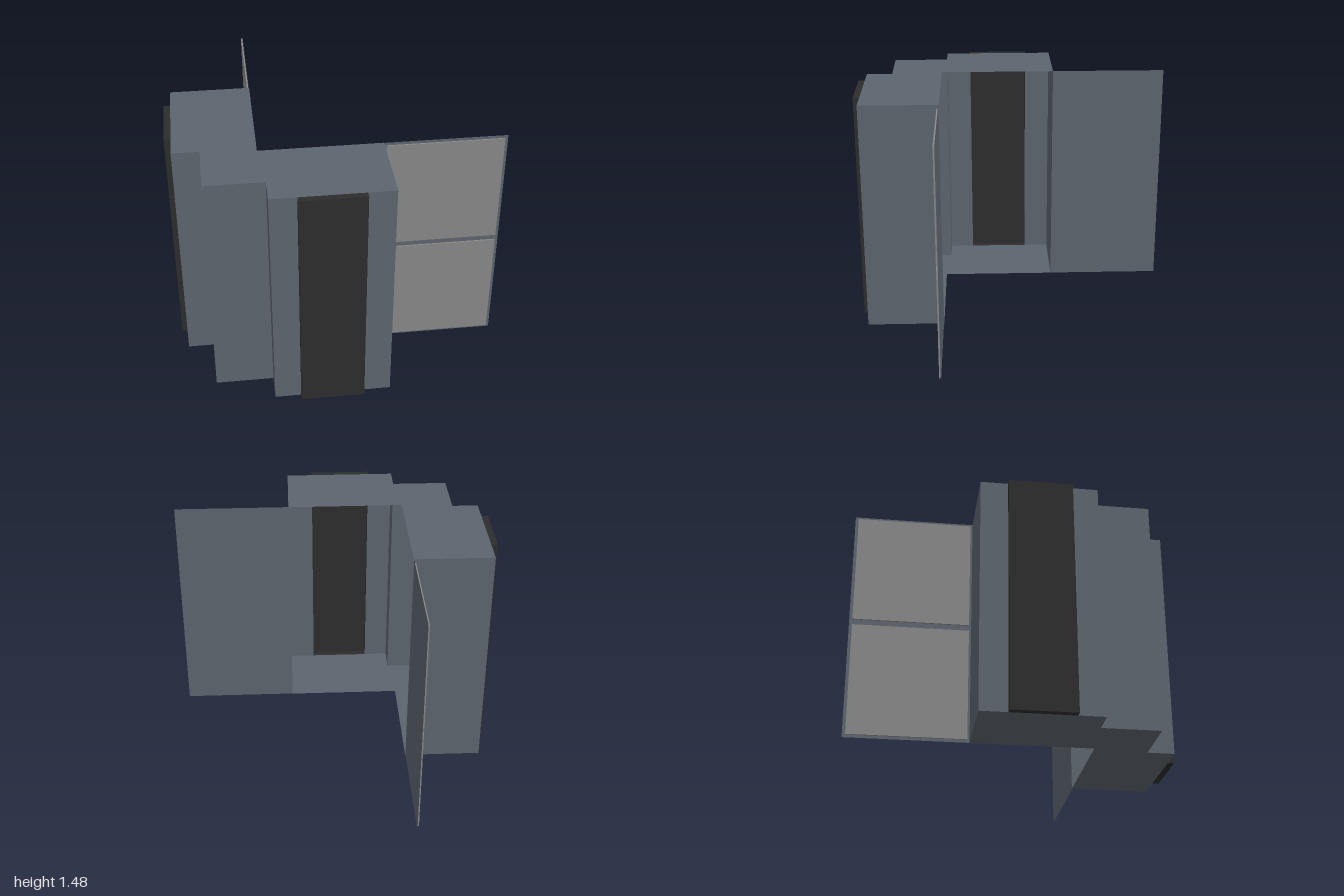
import * as THREE from 'three';

const H = 1.475;

const material = (name, color) =>
  new THREE.MeshStandardMaterial({ name, color, side: THREE.DoubleSide });

// The plan is symmetric about a diagonal: (x, z) -> (-z, -x)
const mirror = (pts) => pts.map(([x, z]) => [-z, -x]).reverse();

// Vertical skin following a plan polyline over the full height
function ribbon(pts) {
  const pos = [];
  for (let i = 0; i + 1 < pts.length; i++) {
    const [ax, az] = pts[i], [bx, bz] = pts[i + 1];
    pos.push(ax, 0, az, ax, H, az, bx, H, bz, ax, 0, az, bx, H, bz, bx, 0, bz);
  }
  const g = new THREE.BufferGeometry();
  g.setAttribute('position', new THREE.Float32BufferAttribute(pos, 3));
  g.computeVertexNormals();
  return g;
}

// Horizontal plan face, facing up at the top and down at the bottom
function cap(pts, y) {
  const s = y > 0 ? -1 : 1;
  const shape = new THREE.Shape(pts.map(([x, z]) => new THREE.Vector2(x, s * z)));
  return new THREE.ShapeGeometry(shape).rotateX(s * Math.PI / 2).translate(0, y, 0);
}

export function createModel() {
  const model = new THREE.Group();
  model.name = 'cornerColumn';
  const cladding = material('slateCladding', 0x5c656e);
  const dark = material('darkStrip', 0x2d2d2d);
  const grey = material('greyPane', 0x888888);

  const add = (name, geometry, mat) => {
    const m = new THREE.Mesh(geometry, mat);
    m.name = name;
    model.add(m);
  };

  // Plan lines: arm end, projecting channel, stepped corner
  const end = [[0.265, 0.47], [0.265, 0.96], [0.1, 0.96]];
  const channel = [[0.1, 0.96], [0.1, 1], [-0.285, 1], [-0.285, 0.96]];
  const corner = [[-0.285, 0.96], [-0.443, 0.96], [-0.443, 0.795], [-0.795, 0.795],
    [-0.795, 0.443], [-0.96, 0.443], [-0.96, 0.285]];
  const wing = [[1, 0.472], [0.265, 0.472]];

  // Column skin, open on the inner side
  add('cornerWall', ribbon(corner), cladding);
  const outline = [...end, ...corner, ...mirror(end), [-0.47, 0.47]];
  add('columnTop', cap(outline, H), cladding);
  add('columnBottom', cap(outline, 0), cladding);

  // Matching parts on both arms
  for (const [side, place] of [['front', (p) => p], ['right', mirror]]) {
    add(side + 'ArmEndWall', ribbon(place(end)), cladding);
    add(side + 'WingSheet', ribbon(place(wing)), cladding);
    add(side + 'Strip', ribbon(place(channel)), dark);
    add(side + 'StripTop', cap(place(channel), H), dark);
    add(side + 'StripBottom', cap(place(channel), 0), dark);

    // Two panes on the outer face of the wing
    for (const [name, y0, y1] of [['Lower', 0.017, 0.72], ['Upper', 0.757, 1.458]]) {
      const pane = new THREE.BoxGeometry(0.702, y1 - y0, 0.009);
      pane.translate(0.63, (y0 + y1) / 2, 0.4785);
      if (side === 'right') pane.rotateY(Math.PI / 2).scale(-1, 1, 1).translate(0, 0, 0);
      if (side === 'right') {
        // Rebuild directly on the mirrored wing
        const p = new THREE.BoxGeometry(0.009, y1 - y0, 0.702);
        add(side + name + 'Pane', p.translate(-0.4785, (y0 + y1) / 2, -0.63), grey);
      } else add(side + name + 'Pane', pane, grey);
    }
  }
  return model;
}
